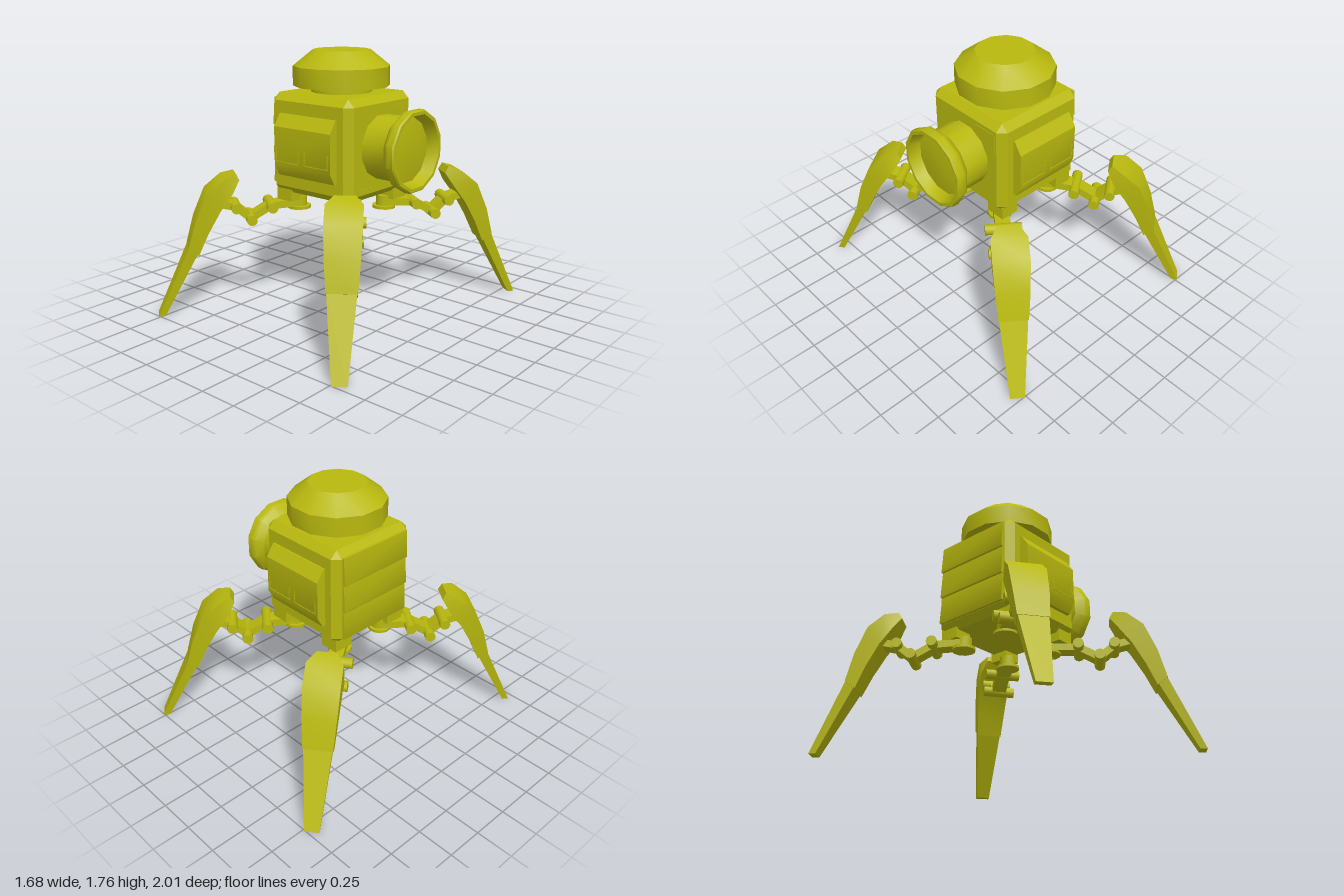
import * as THREE from 'three';
import { toCreasedNormals } from 'three/addons/utils/BufferGeometryUtils.js';
import { ConvexGeometry } from 'three/addons/geometries/ConvexGeometry.js';

const olive = new THREE.MeshStandardMaterial({ color: 0xb8b80f });
olive.name = 'olive';

// Mesh with sharp edges kept and gentle bends smoothed
function part(name, geometry, parent) {
  const mesh = new THREE.Mesh(toCreasedNormals(geometry, 0.6), olive);
  mesh.name = name;
  parent.add(mesh);
  return mesh;
}

function box(name, w, h, d, x, y, z, parent) {
  return part(name, new THREE.BoxGeometry(w, h, d).translate(x, y, z), parent);
}

// Twelve-sided turned part with flat sides facing the axes
function turned(points) {
  return new THREE.LatheGeometry(points.map(([r, y]) => new THREE.Vector2(r, y)), 12).rotateY(Math.PI / 12);
}

// Box with all edges chamfered
function chamferedBox(x, y, z, c) {
  const pts = [];
  for (const i of [-1, 1]) for (const j of [-1, 1]) for (const k of [-1, 1]) {
    pts.push(
      new THREE.Vector3(i * x, j * (y - c), k * (z - c)),
      new THREE.Vector3(i * (x - c), j * y, k * (z - c)),
      new THREE.Vector3(i * (x - c), j * (y - c), k * z));
  }
  return new ConvexGeometry(pts);
}

// Prism from an outline, centred along its depth
function prism(outline, depth) {
  const shape = new THREE.Shape(outline.map(([x, y]) => new THREE.Vector2(x, y)));
  return new THREE.ExtrudeGeometry(shape, { depth, bevelEnabled: false }).translate(0, 0, -depth / 2);
}

// Four-cornered loft; each section: outer reach, height, half width, then the same for the inner side
function loft(sections) {
  const rings = sections.map(([ro, yo, ho, ri, yi, hi]) => [[-ho, yo, ro], [ho, yo, ro], [hi, yi, ri], [-hi, yi, ri]]);
  const pos = [];
  const quad = (a, b, c, d) => pos.push(...a, ...b, ...c, ...a, ...c, ...d);
  for (let s = 0; s < rings.length - 1; s++) {
    for (let k = 0; k < 4; k++) {
      const n = (k + 1) % 4;
      quad(rings[s][k], rings[s + 1][k], rings[s + 1][n], rings[s][n]);
    }
  }
  const [a, b, c, d] = rings[0];
  quad(a, b, c, d);
  const [e, f, g, h] = rings[rings.length - 1];
  quad(h, g, f, e);
  const geometry = new THREE.BufferGeometry();
  geometry.setAttribute('position', new THREE.Float32BufferAttribute(pos, 3));
  return geometry;
}

// Tube across the leg
function hingeBar(z, y, half, parent) {
  part('hingeBar', new THREE.CylinderGeometry(0.036, 0.036, half * 2, 12).rotateZ(Math.PI / 2).translate(0, y, z), parent);
}

// Flat link between two hinge points
function link(z0, y0, z1, y1, width, parent) {
  const length = Math.hypot(z1 - z0, y1 - y0);
  part('armLink', new THREE.BoxGeometry(width, 0.05, length).rotateX(-Math.atan2(y1 - y0, z1 - z0))
    .translate(0, (y0 + y1) / 2, (z0 + z1) / 2), parent);
}

// One leg, reaching along its own +z
function makeLeg() {
  const leg = new THREE.Group();
  leg.name = 'leg';

  // Jointed arm
  part('hipPivot', new THREE.CylinderGeometry(0.055, 0.055, 0.09, 12).translate(0, 0.735, 0.01), leg);
  part('hipDisc', new THREE.CylinderGeometry(0.08, 0.08, 0.02, 12).translate(0, 0.7, 0.01), leg);
  link(0, 0.735, 0.21, 0.725, 0.1, leg);
  link(0.21, 0.725, 0.35, 0.645, 0.1, leg);
  link(0.35, 0.645, 0.45, 0.73, 0.1, leg);
  link(0.45, 0.73, 0.57, 0.76, 0.1, leg);
  hingeBar(0.21, 0.725, 0.12, leg);
  hingeBar(0.35, 0.645, 0.11, leg);
  hingeBar(0.45, 0.73, 0.1, leg);

  // Armoured shell and pointed foot
  part('thighShell', loft([
    [0.45, 0.965, 0.065, 0.425, 0.92, 0.07],
    [0.535, 0.935, 0.115, 0.475, 0.835, 0.11],
    [0.645, 0.845, 0.116, 0.56, 0.72, 0.11],
    [0.725, 0.66, 0.108, 0.643, 0.57, 0.1],
    [0.778, 0.47, 0.094, 0.71, 0.42, 0.088],
  ]), leg);
  part('shinSpike', loft([
    [0.773, 0.475, 0.09, 0.717, 0.43, 0.084],
    [0.99, 0, 0.047, 0.945, 0, 0.045],
  ]), leg);
  return leg;
}

export function createModel() {
  const model = new THREE.Group();
  model.name = 'walkerRobot';

  // Body
  part('body', chamferedBox(0.34, 0.335, 0.335, 0.048).translate(0, 1.155, 0), model);

  // Neck and head
  part('neck', turned([[0, 1.48], [0.205, 1.48], [0.205, 1.54], [0, 1.54]]), model);
  part('head', turned([[0, 1.53], [0.323, 1.53], [0.323, 1.66], [0.192, 1.765], [0, 1.765]]), model);

  // Raised panels on front and back, with fine seams
  for (const turn of [0, Math.PI]) {
    const panel = new THREE.Group();
    panel.name = 'sidePanel';
    panel.rotation.y = turn;
    part('panelBlock', prism([[0.32, 0.95], [0.36, 0.95], [0.4, 1.025], [0.4, 1.28], [0.345, 1.36], [0.32, 1.36]], 0.48)
      .rotateY(-Math.PI / 2), panel);
    for (const x of [-0.125, 0.12]) {
      box('panelSeam', 0.2, 0.006, 0.004, x, 1.05, 0.401, panel);
      for (const s of [-1, 1]) box('panelSeam', 0.006, 0.09, 0.004, x + s * 0.097, 1.098, 0.401, panel);
    }
    model.add(panel);
  }

  // Overlapping slats on the right side
  for (const [top, bottom] of [[1.45, 1.26], [1.26, 1.065], [1.065, 0.87]]) {
    part('slat', prism([[-0.33, top], [-0.349, top], [-0.364, bottom + 0.008], [-0.36, bottom], [-0.33, bottom]], 0.56), model);
  }

  // Corner trim around the lens
  for (const s of [-1, 1]) {
    box('cornerTrim', 0.008, 0.014, 0.17, 0.339, 1.155 + s * 0.255, -s * 0.185, model);
    box('cornerTrim', 0.008, 0.14, 0.014, 0.339, 1.155 + s * 0.19, -s * 0.265, model);
  }

  // Lens housing on the left side
  part('lens', turned([[0, 0.3], [0.213, 0.3], [0.213, 0.51], [0.262, 0.555], [0.27, 0.575], [0.27, 0.615], [0.262, 0.625],
    [0.24, 0.625], [0.215, 0.545], [0.12, 0.558], [0, 0.562]])
    .rotateZ(-Math.PI / 2).translate(0, 1.16, 0), model);

  // Hip brackets and legs
  for (const sx of [-1, 1]) for (const sz of [-1, 1]) {
    box('hipBracket', 0.13, 0.09, 0.14, sx * 0.245, 0.805, sz * 0.24, model);
    const leg = makeLeg();
    leg.position.set(sx * 0.215, 0, sz * 0.18);
    leg.rotation.y = Math.atan2(0.592 * sx, 0.806 * sz);
    model.add(leg);
  }
  return model;
}
